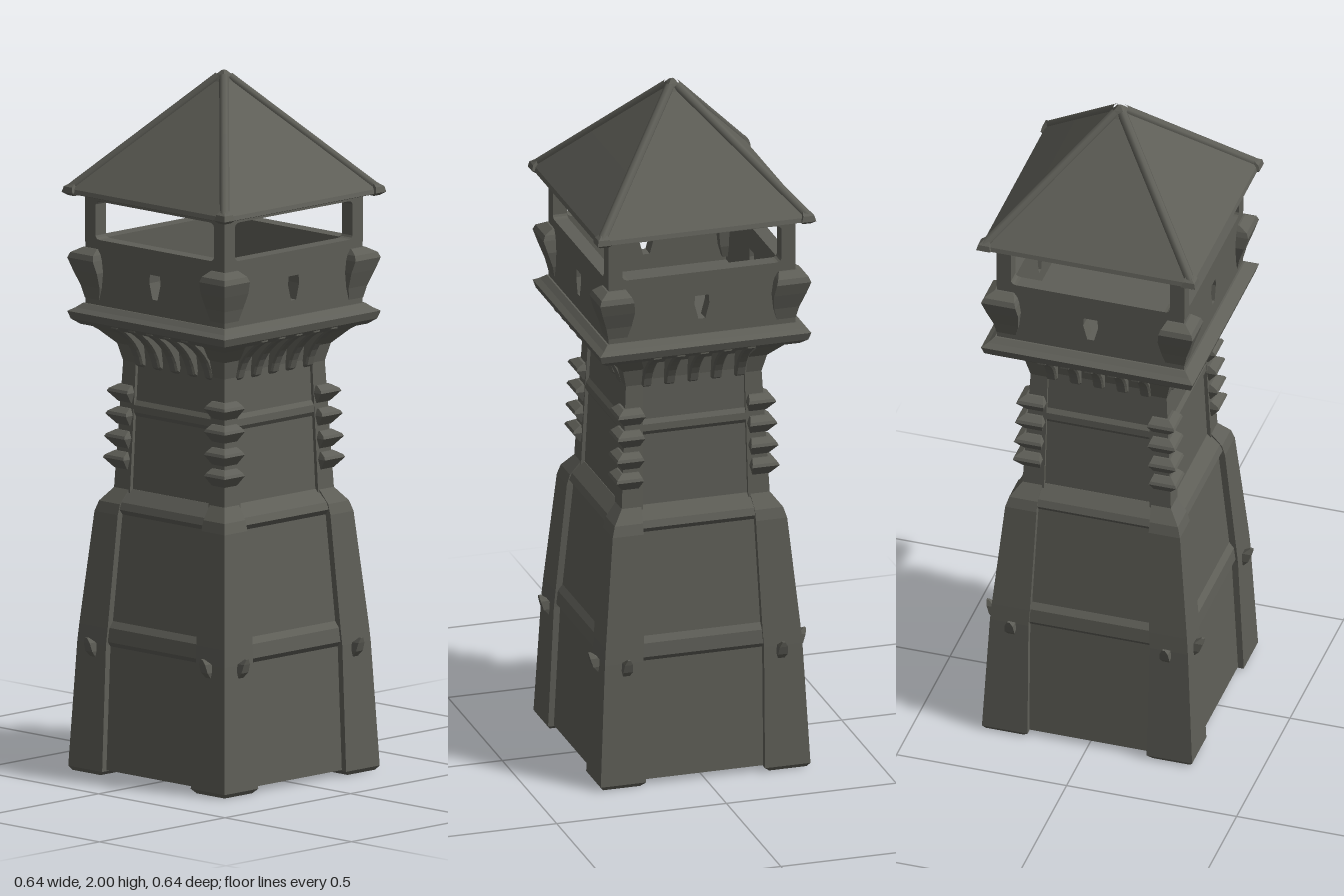
import * as THREE from 'three';

// Square-section loft: each ring is [y, centreX, centreZ, halfX, halfZ], bottom to top
function loft(rings) {
  const pos = [];
  const pts = rings.map(([y, x, z, hx, hz]) => [
    [x + hx, y, z + hz], [x + hx, y, z - hz], [x - hx, y, z - hz], [x - hx, y, z + hz]]);
  const quad = (a, b, c, d) => pos.push(...a, ...b, ...c, ...a, ...c, ...d);
  for (let r = 0; r < pts.length - 1; r++)
    for (let i = 0; i < 4; i++) {
      const j = (i + 1) % 4;
      quad(pts[r][i], pts[r][j], pts[r + 1][j], pts[r + 1][i]);
    }
  quad(...pts[pts.length - 1]);
  quad(...[...pts[0]].reverse());
  const g = new THREE.BufferGeometry();
  g.setAttribute('position', new THREE.Float32BufferAttribute(pos, 3));
  g.computeVertexNormals();
  return g;
}
// Centred loft from [y, half width] pairs
const tier = (profile) => loft(profile.map(([y, h]) => [y, 0, 0, h, h]));
// Corner loft from [y, inner edge, outer edge] triples
const corner = (profile) => loft(profile.map(([y, a, b]) => {
  const c = (a + b) / 2, h = (b - a) / 2;
  return [y, c, c, h, h];
}));

export function createModel() {
  const model = new THREE.Group();
  const stone = new THREE.MeshStandardMaterial({ color: 0x5e5e57 });
  stone.name = 'dark stone';

  const add = (name, geometry, parent = model) => {
    const mesh = new THREE.Mesh(geometry, stone);
    mesh.name = name;
    parent.add(mesh);
    return mesh;
  };

  // Tapering shaft and its raised horizontal bands
  add('shaft', tier([[0.015, 0.292], [0.38, 0.272], [0.76, 0.236], [0.8, 0.208],
    [1.18, 0.19], [1.23, 0.197], [1.27, 0.23], [1.3, 0.275]]));
  add('plinthBand', tier([[0.365, 0.272], [0.38, 0.284], [0.42, 0.28], [0.44, 0.265]]));
  add('shoulderBand', tier([[0.74, 0.238], [0.755, 0.25], [0.775, 0.242], [0.81, 0.209]]));
  add('upperBand', tier([[1.015, 0.196], [1.03, 0.206], [1.05, 0.205], [1.065, 0.194]]));

  // Gallery floor slab
  add('galleryLedge', tier([[1.275, 0.285], [1.29, 0.304], [1.312, 0.311], [1.322, 0.295], [1.335, 0.28]]));

  // Roof with a blunt tip and a beam frame under the eaves
  add('roof', tier([[1.645, 0.3], [1.65, 0.315], [1.662, 0.311], [1.8, 0.184], [1.97, 0.026], [1.99, 0.014], [2.0, 0.005]]));

  // Corbel profile (outward, up)
  const corbelShape = new THREE.Shape();
  corbelShape.moveTo(0.17, 1.15);
  corbelShape.lineTo(0.2, 1.17);
  corbelShape.quadraticCurveTo(0.215, 1.24, 0.295, 1.285);
  corbelShape.lineTo(0.295, 1.305);
  corbelShape.lineTo(0.17, 1.305);
  const corbel = new THREE.ExtrudeGeometry(corbelShape, {
    depth: 0.022, curveSegments: 6, bevelEnabled: true, bevelSize: 0.005, bevelThickness: 0.005, bevelSegments: 1 });
  corbel.translate(0, 0, -0.011).rotateY(-Math.PI / 2);

  // Parapet wall pierced by an arrow slit
  const wallShape = new THREE.Shape();
  wallShape.moveTo(-0.275, 1.31);
  wallShape.lineTo(0.275, 1.31);
  wallShape.lineTo(0.275, 1.52);
  wallShape.lineTo(-0.275, 1.52);
  const slit = new THREE.Path();
  slit.moveTo(-0.01, 1.38);
  slit.lineTo(-0.022, 1.425);
  slit.lineTo(-0.02, 1.45);
  slit.lineTo(0.02, 1.45);
  slit.lineTo(0.022, 1.425);
  slit.lineTo(0.01, 1.38);
  wallShape.holes.push(slit);
  const wall = new THREE.ExtrudeGeometry(wallShape, { depth: 0.04, bevelEnabled: false });
  wall.translate(0, 0, 0.235);

  // Opening frame with small rounded corners, filling posts to lintel
  const frameShape = new THREE.Shape();
  frameShape.moveTo(-0.276, 1.51);
  frameShape.lineTo(0.276, 1.51);
  frameShape.lineTo(0.276, 1.65);
  frameShape.lineTo(-0.276, 1.65);
  const opening = new THREE.Path();
  const w = 0.235, b = 1.522, t = 1.632, r = 0.018;
  opening.moveTo(-w + r, b);
  opening.quadraticCurveTo(-w, b, -w, b + r);
  opening.lineTo(-w, t - r);
  opening.quadraticCurveTo(-w, t, -w + r, t);
  opening.lineTo(w - r, t);
  opening.quadraticCurveTo(w, t, w, t - r);
  opening.lineTo(w, b + r);
  opening.quadraticCurveTo(w, b, w - r, b);
  frameShape.holes.push(opening);
  const frame = new THREE.ExtrudeGeometry(frameShape, { depth: 0.042, curveSegments: 4, bevelEnabled: false });
  frame.translate(0, 0, 0.234);

  const horn = loft([[0.325, 0, 0.275, 0.008, 0.01], [0.35, 0, 0.293, 0.014, 0.016],
    [0.375, 0, 0.305, 0.012, 0.012], [0.39, 0, 0.316, 0.004, 0.004]]);

  const lowerPier = corner([[0, 0.19, 0.3], [0.012, 0.175, 0.309], [0.37, 0.178, 0.291],
    [0.42, 0.175, 0.287], [0.74, 0.165, 0.257], [0.77, 0.165, 0.248], [0.81, 0.16, 0.217]]);
  const upperPier = corner([[0.79, 0.155, 0.219], [1.17, 0.15, 0.2], [1.22, 0.15, 0.212],
    [1.26, 0.17, 0.25], [1.3, 0.2, 0.303]]);
  const spur = corner([[-0.025, 0.165, 0.215], [0.004, 0.157, 0.238], [0.012, 0.16, 0.234], [0.024, 0.165, 0.215]]);
  const boss = corner([[1.35, 0.22, 0.276], [1.385, 0.21, 0.284], [1.43, 0.205, 0.3],
    [1.465, 0.21, 0.311], [1.48, 0.215, 0.305], [1.495, 0.225, 0.28]]);
  const hipPath = new THREE.LineCurve3(new THREE.Vector3(0.306, 1.66, 0.306), new THREE.Vector3(0.01, 1.982, 0.01));
  const hip = new THREE.TubeGeometry(hipPath, 1, 0.014, 8);

  // Everything that repeats on the four sides and corners
  for (let k = 0; k < 4; k++) {
    const side = new THREE.Group();
    side.name = 'side' + (k + 1);
    side.rotation.y = k * Math.PI / 2;
    model.add(side);

    add('parapetWall', wall, side);
    add('galleryFrame', frame, side);
    for (let i = -2; i <= 2; i++) add('corbel', corbel, side).position.x = i * 0.069;
    for (const s of [-1, 1]) add('horn', horn, side).position.x = s * 0.228;

    add('lowerPier', lowerPier, side);
    add('upperPier', upperPier, side);
    for (const y of [0.89, 0.95, 1.015, 1.08]) {
      const m = add('cornerSpur', spur, side);
      m.position.set((0.95 - y) * 0.04, y, (0.95 - y) * 0.04);
    }
    add('cornerBoss', boss, side);
    add('roofHip', hip, side);
    // Upturned eave tip closing the end of the hip
    add('eaveTip', corner([[1.643, 0.285, 0.31], [1.652, 0.28, 0.322], [1.668, 0.285, 0.318], [1.678, 0.288, 0.305]]), side);
  }
  return model;
}
